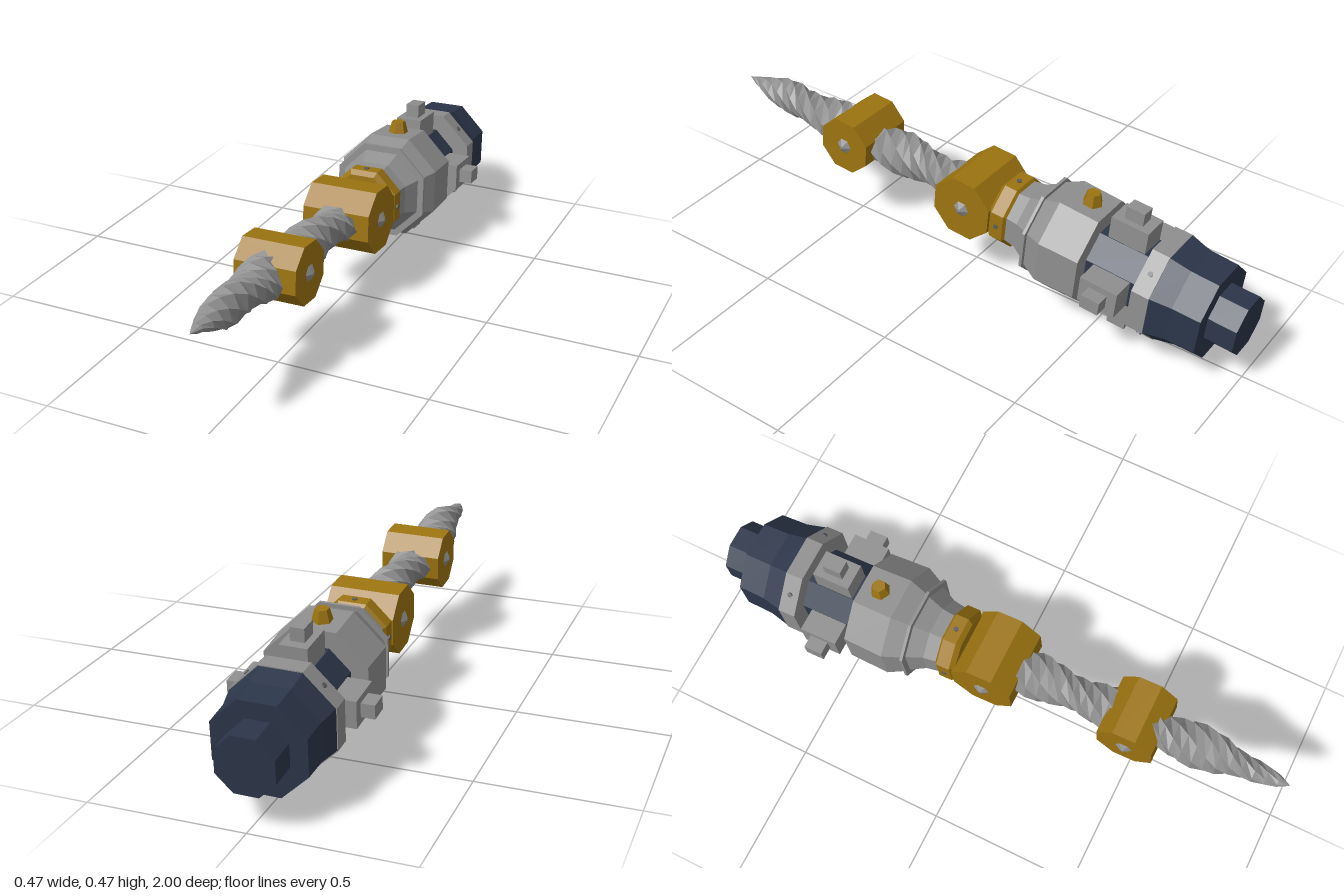
import * as THREE from 'three';

const mat = (name, color, side = THREE.FrontSide) =>
  Object.assign(new THREE.MeshStandardMaterial({ color, flatShading: true, side }), { name });

export function createModel() {
  const steel = mat('steel', 0x8f8f8f);
  const gold = mat('gold', 0x9c7410);
  const navy = mat('navy', 0x2c364a);
  const rivetGrey = mat('rivetGrey', 0x5a5d62);

  const tool = new THREE.Group();
  tool.name = 'drillTool';
  const add = (name, geo, material, parent = tool) => {
    const m = new THREE.Mesh(geo, material);
    m.name = name;
    parent.add(m);
    return m;
  };

  // Flat-topped octagonal solid along z; profile is [z, apothem] from back to front
  const octagon = (name, profile, material) => {
    const k = 1 / Math.cos(Math.PI / 8);
    const first = profile[0], last = profile[profile.length - 1];
    const pts = [[first[0], 0], ...profile, [last[0], 0]].map(([z, r]) => new THREE.Vector2(r * k, z));
    const geo = new THREE.LatheGeometry(pts, 8, Math.PI / 8);
    geo.rotateX(Math.PI / 2);
    return add(name, geo, material);
  };

  // Handle end, rear body and collar
  octagon('endCap', [[-1, 0.092], [-0.89, 0.092]], navy);
  octagon('rearBody', [[-0.905, 0.147], [-0.81, 0.15], [-0.74, 0.165]], navy);
  octagon('rearCollar', [[-0.74, 0.168], [-0.68, 0.168]], steel);
  octagon('core', [[-0.69, 0.113], [-0.48, 0.113]], navy);

  // Bell housing, flange and neck
  octagon('bellHousing', [[-0.49, 0.168], [-0.35, 0.173], [-0.29, 0.145]], steel);
  octagon('flange', [[-0.291, 0.158], [-0.281, 0.158]], steel);
  octagon('neckCone', [[-0.283, 0.138], [-0.23, 0.112], [-0.185, 0.105]], steel);
  octagon('neckCollar', [[-0.192, 0.1], [-0.18, 0.115], [-0.135, 0.115], [-0.12, 0.1]], gold);

  // Four stepped lugs around the core
  for (let i = 0; i < 4; i++) {
    const lug = new THREE.Group();
    lug.name = 'lug';
    lug.rotation.z = i * Math.PI / 2;
    const base = add('lugBase', new THREE.BoxGeometry(0.09, 0.09, 0.13), steel, lug);
    base.position.set(0.145, 0, -0.583);
    const knob = add('lugKnob', new THREE.BoxGeometry(0.055, 0.046, 0.064), steel, lug);
    knob.position.set(0.207, 0, -0.583);
    tool.add(lug);
  }

  // Rivets on the diagonal faces of the rear collar and the main faces of the neck collar
  const rivetRing = (radius, z, offset) => {
    for (let i = 0; i < 4; i++) {
      const a = offset + i * Math.PI / 2;
      const r = add('rivet', new THREE.CylinderGeometry(0.009, 0.009, 0.012, 6), rivetGrey);
      r.position.set(Math.cos(a) * radius, Math.sin(a) * radius, z);
      r.rotation.z = a - Math.PI / 2;
    }
  };
  rivetRing(0.166, -0.71, Math.PI / 4);
  rivetRing(0.113, -0.157, 0);

  // Hexagonal button on top of the bell
  const button = add('topButton', new THREE.CylinderGeometry(0.023, 0.038, 0.055, 6), gold);
  button.position.set(0, 0.182, -0.425);

  // Octagonal cross joints with pointed hex studs at each end
  for (const [z, apothem, half] of [[-0.02, 0.105, 0.116], [0.48, 0.094, 0.103]]) {
    const joint = new THREE.Group();
    joint.name = 'crossJoint';
    joint.position.z = z;
    const r = apothem / Math.cos(Math.PI / 8);
    const block = new THREE.CylinderGeometry(r, r, half * 2, 8, 1, false, Math.PI / 8);
    add('jointBlock', block.rotateZ(Math.PI / 2), gold, joint);
    for (const s of [-1, 1]) {
      const stud = add('jointStud', new THREE.CylinderGeometry(0.006, 0.03, 0.014, 6), steel, joint);
      stud.position.x = s * (half + 0.006);
      stud.rotation.z = -s * Math.PI / 2;
    }
    tool.add(joint);
  }

  // Twisted two-lobed bit running through both joints to a point
  const bit = new THREE.CylinderGeometry(1, 1, 1, 8, 26, true);
  bit.rotateX(Math.PI / 2);
  const p = bit.attributes.position;
  for (let i = 0; i < p.count; i++) {
    const z = 0.5 + p.getZ(i);
    const turn = (z - 0.1) / 0.28 * Math.PI;
    const size = (1 - 0.1 * z) * Math.pow(Math.min(1, Math.max(0, (1 - z) / 0.23)), 0.72);
    const x = p.getX(i) * 0.08 * size, y = p.getY(i) * 0.058 * size;
    p.setXYZ(i, x * Math.cos(turn) - y * Math.sin(turn), x * Math.sin(turn) + y * Math.cos(turn), z);
  }
  bit.computeVertexNormals();
  add('twistedBit', bit, steel);

  // Slight upward tilt and roll of the whole tool
  tool.rotation.set(-0.08, 0, 0.015);
  tool.position.y = 0.284;

  const model = new THREE.Group();
  model.name = 'model';
  model.add(tool);
  return model;
}
